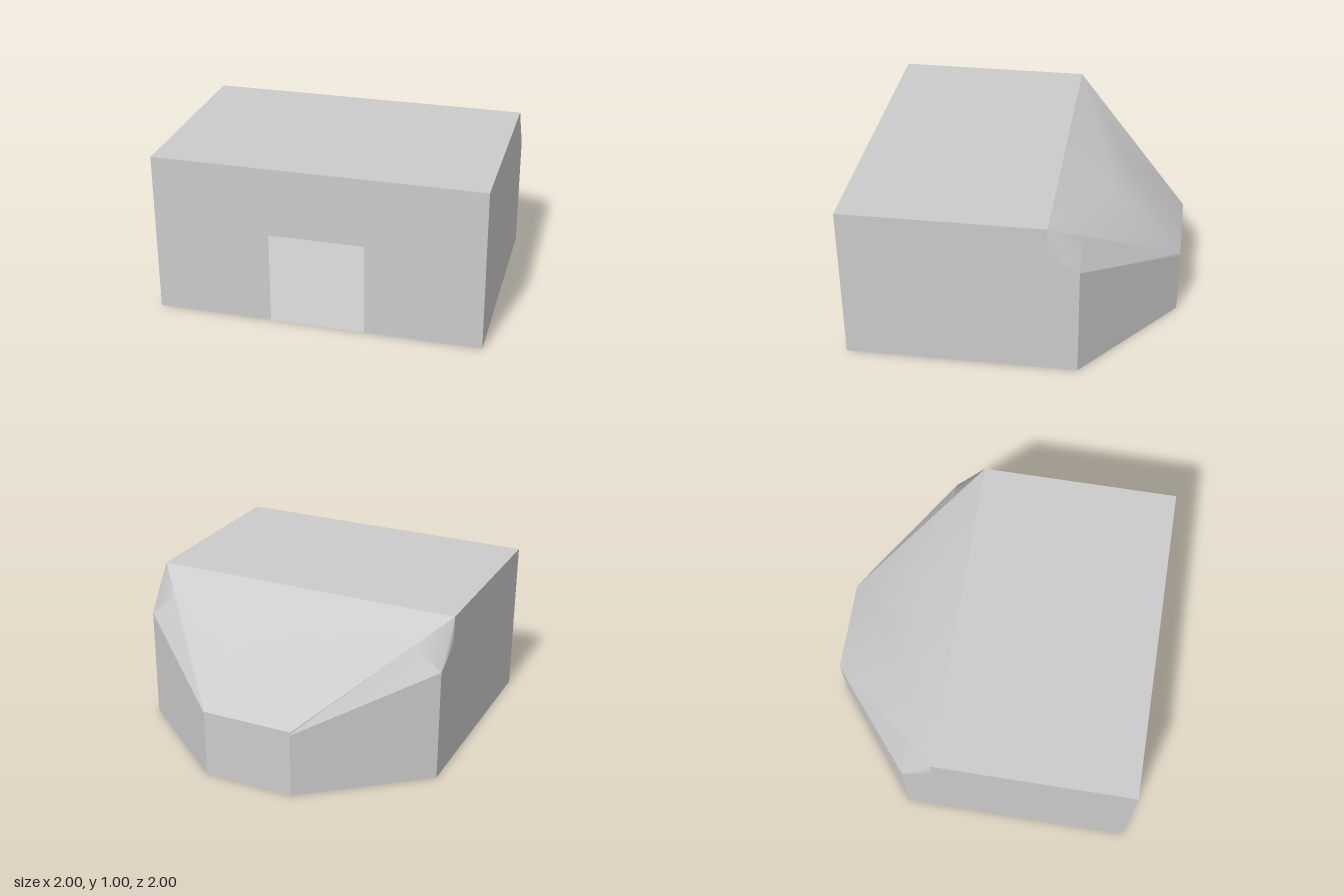
import * as THREE from 'three';

const material = new THREE.MeshStandardMaterial({ color: 0xcccccc, side: THREE.DoubleSide });

// Thin panel from corner points (counter-clockwise seen from outside), fanned from the first
// corner unless triangles are given; shared corners make it smooth where it bends.
function panel(name, points, triangles) {
  const index = triangles ?? points.slice(2).flatMap((_, i) => [0, i + 1, i + 2]);
  const geometry = new THREE.BufferGeometry();
  geometry.setAttribute('position', new THREE.Float32BufferAttribute(points.flat(), 3));
  geometry.setIndex(index);
  geometry.computeVertexNormals();
  const mesh = new THREE.Mesh(geometry, material);
  mesh.name = name;
  return mesh;
}

// Mirror a left-hand panel across x = 0, reversing its corner order
const mirrored = (points) => points.map(([x, y, z]) => [-x, y, z]).reverse();

export function createModel() {
  const group = new THREE.Group();
  group.name = 'shelter';

  const w = 0.29;                        // half width of doorway and back wall
  const top = [1, 1, -0.24];             // rear corner of the flat roof
  const notch = [1, 0.82, -0.24];
  const corner = [1, 0.717, -0.43];      // top of the wall corner
  const hip = [0.822, 0.857, -0.43];     // on the edge of the sloping roof
  const eave = [w, 0.43, -1];
  const eaveLow = [w, 0.41, -1];
  const flip = ([x, y, z]) => [-x, y, z];

  // Front wall with doorway
  const wall = new THREE.Shape();
  [[-1, 0], [-w, 0], [-w, 0.575], [w, 0.575], [w, 0], [1, 0], [1, 1], [-1, 1]]
    .forEach(([x, y], i) => (i ? wall.lineTo(x, y) : wall.moveTo(x, y)));
  const front = new THREE.Mesh(new THREE.ShapeGeometry(wall), material);
  front.position.z = 1;
  front.name = 'frontWall';
  group.add(front);

  // Floor, flat roof and back wall
  group.add(panel('floor', [[1, 0, 1], [-1, 0, 1], [-1, 0, -0.43], [-w, 0, -1], [w, 0, -1], [1, 0, -0.43]]));
  group.add(panel('flatRoof', [[-1, 1, 1], [1, 1, 1], top, flip(top)]));
  group.add(panel('backWall', [[w, 0, -1], [-w, 0, -1], flip(eave), eave]));

  // Sloping rear roof, bulging at its middle
  const bulge = [w, 0.86, -0.57];
  group.add(panel('slopingRoof',
    [flip(top), top, flip(bulge), bulge, flip(eave), eave],
    [0, 1, 3, 0, 3, 2, 2, 3, 5, 2, 5, 4, 1, 5, 3, 0, 2, 4]));

  // Paired side panels
  const sides = {
    SideWall: [[1, 0, 1], [1, 0, -0.43], corner, notch, top, [1, 1, 1]],
    AngledWall: [[1, 0, -0.43], [w, 0, -1], eaveLow, corner],
    CornerPanel: [top, notch, corner, hip],
    HipStrip: [corner, eaveLow, eave, hip],
  };
  for (const [name, points] of Object.entries(sides)) {
    group.add(panel('left' + name, points));
    // keep the fold of the corner panel on the same diagonal
    const fold = name === 'CornerPanel' ? [3, 0, 1, 3, 1, 2] : undefined;
    const fan = name === 'SideWall' ? [5, 0, 1, 5, 1, 2, 5, 2, 3, 5, 3, 4] : fold;
    group.add(panel('right' + name, mirrored(points), fan));
  }
  return group;
}
